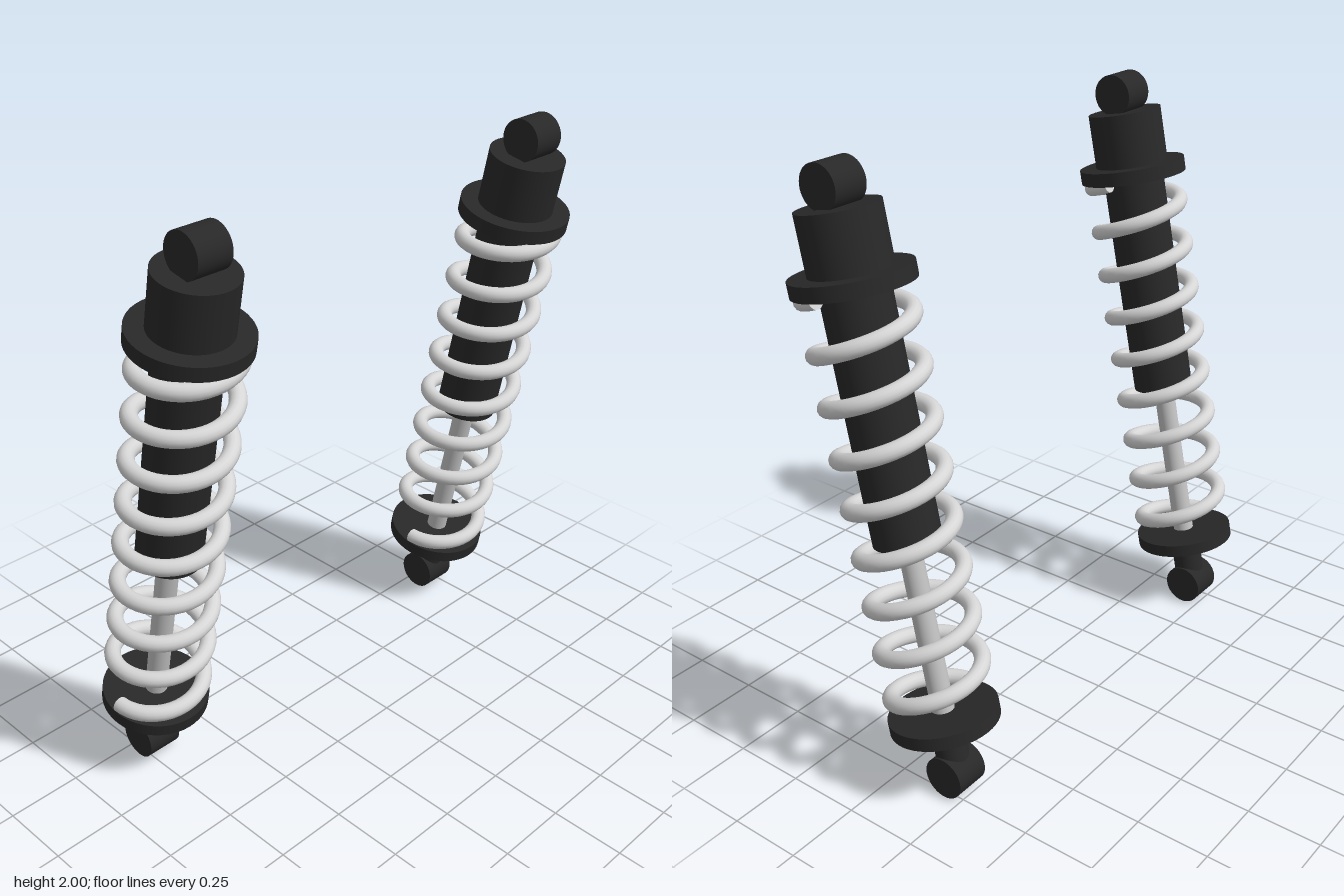
import * as THREE from 'three';

const dark = new THREE.MeshStandardMaterial({ color: 0x282828 });
dark.name = 'black plastic';
const silver = new THREE.MeshStandardMaterial({ color: 0xd6d6d6 });
silver.name = 'spring silver';
const steel = new THREE.MeshStandardMaterial({ color: 0xc2c2c2 });
steel.name = 'rod steel';

const LENGTH = 1.896; // between the two mounting eyes
const TILT = 0.2025;

// Right-handed coil around the y axis, starting at +z
class Coil extends THREE.Curve {
  constructor(radius, start, pitch, turns) {
    super();
    Object.assign(this, { radius, start, pitch, turns });
  }
  getPoint(t, target = new THREE.Vector3()) {
    const a = t * this.turns * Math.PI * 2;
    return target.set(
      Math.sin(a) * this.radius,
      this.start + t * this.turns * this.pitch,
      Math.cos(a) * this.radius
    );
  }
}

function part(name, geometry, material) {
  const mesh = new THREE.Mesh(geometry, material);
  mesh.name = name;
  return mesh;
}

// Upright cylinder between two heights on the damper axis
function rod(name, radius, y0, y1, material) {
  const geometry = new THREE.CylinderGeometry(radius, radius, y1 - y0, 48);
  geometry.translate(0, (y0 + y1) / 2, 0);
  return part(name, geometry, material);
}

function eye(name, y) {
  const geometry = new THREE.CylinderGeometry(0.071, 0.071, 0.122, 40);
  geometry.rotateX(Math.PI / 2);
  geometry.translate(0, y, 0);
  return part(name, geometry, dark);
}

function createDamper(name) {
  const damper = new THREE.Group();
  damper.name = name;
  damper.add(
    eye('lowerEye', 0),
    rod('lowerStem', 0.054, 0, 0.19, dark),
    rod('lowerSpringSeat', 0.178, 0.178, 0.222, dark),
    rod('pistonRod', 0.037, 0.2, 0.85, steel),
    rod('damperBody', 0.107, 0.81, 1.62, dark),
    rod('upperSpringSeat', 0.187, 1.6, 1.648, dark),
    rod('upperCap', 0.128, 1.63, 1.834, dark),
    eye('upperEye', LENGTH)
  );

  // Coil spring with closed ends
  const coil = new Coil(0.153, 0.234, 0.161, 8.5);
  damper.add(part('spring', new THREE.TubeGeometry(coil, 360, 0.027, 14, false), silver));
  for (const t of [0, 1]) {
    const cap = part('springEnd', new THREE.CircleGeometry(0.027, 14), silver);
    const out = coil.getTangent(t).multiplyScalar(t ? 1 : -1);
    cap.position.copy(coil.getPoint(t));
    cap.quaternion.setFromUnitVectors(new THREE.Vector3(0, 0, 1), out);
    damper.add(cap);
  }

  // Lean towards +x, resting on the lower eye
  damper.rotation.z = -TILT;
  damper.position.set(-Math.sin(TILT) * LENGTH / 2, 0.071, 0);
  return damper;
}

export function createModel() {
  const model = new THREE.Group();
  model.name = 'damperPair';
  for (const [name, side] of [['frontDamper', 1], ['backDamper', -1]]) {
    const damper = createDamper(name);
    damper.position.z = side * 0.714;
    model.add(damper);
  }
  return model;
}
